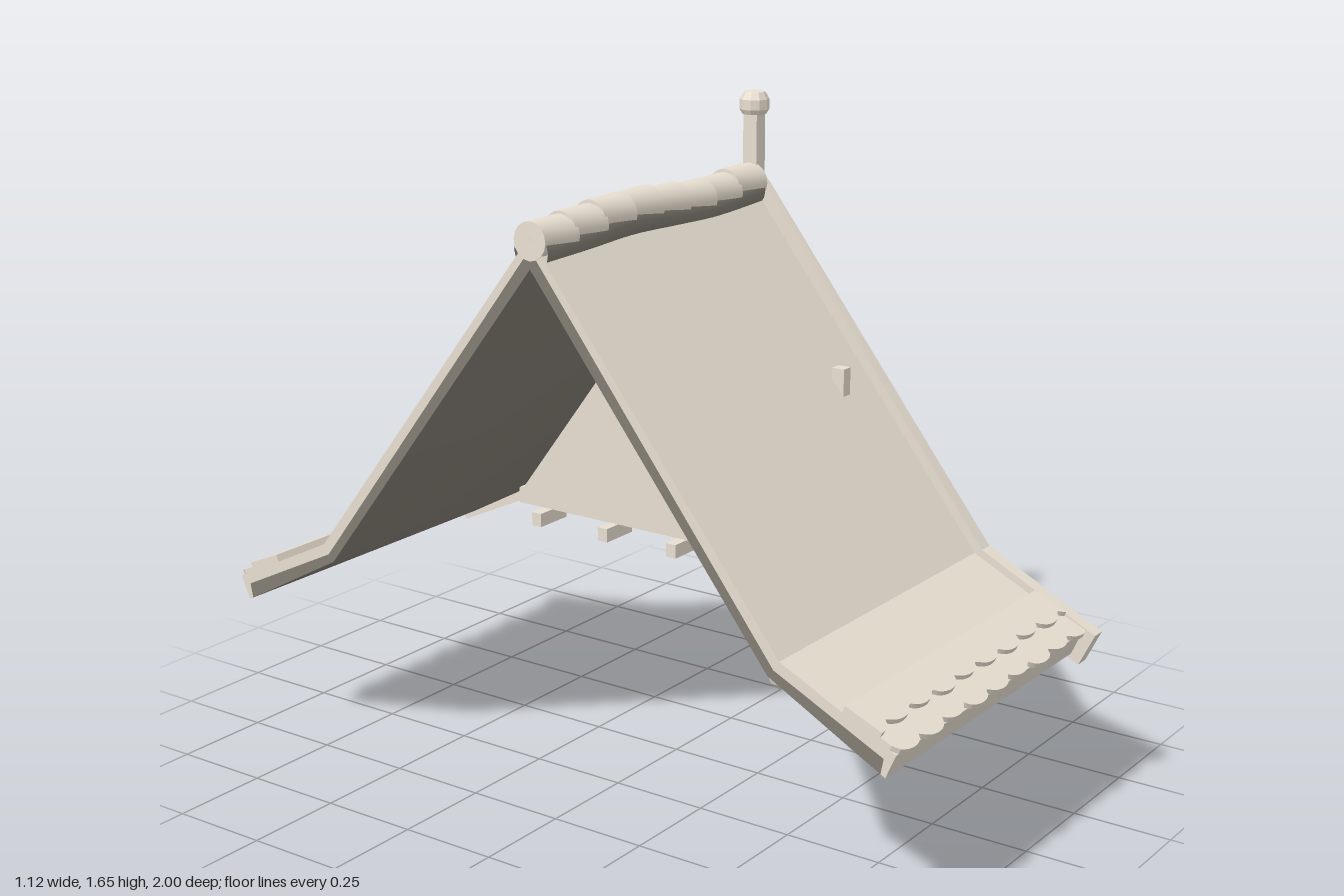
import * as THREE from 'three';
import { toCreasedNormals } from 'three/addons/utils/BufferGeometryUtils.js';

export function createModel() {
  const model = new THREE.Group();
  model.name = 'gableRoof';
  const clay = new THREE.MeshStandardMaterial({ color: 0xe8dfd1, side: THREE.DoubleSide });
  clay.name = 'paleClay';
  const dark = new THREE.MeshStandardMaterial({ color: 0x827c73, side: THREE.DoubleSide });
  dark.name = 'darkLining';

  const add = (name, geo, parent = model, material = clay) => {
    const m = new THREE.Mesh(toCreasedNormals(geo, 0.42), material);
    m.name = name;
    parent.add(m);
    return m;
  };
  // Box given by its limits on each axis
  const box = (name, x0, x1, y0, y1, z0, z1, parent) => {
    const m = add(name, new THREE.BoxGeometry(x1 - x0, y1 - y0, z1 - z0), parent);
    m.position.set((x0 + x1) / 2, (y0 + y1) / 2, (z0 + z1) / 2);
    return m;
  };
  // Outline of [z, y] points extruded along x
  const slab = (name, pts, x0, x1, material) => {
    const shape = new THREE.Shape(pts.map(([z, y]) => new THREE.Vector2(-z, y)));
    const geo = new THREE.ExtrudeGeometry(shape, { depth: x1 - x0, bevelEnabled: false });
    geo.rotateY(Math.PI / 2).translate(x0, 0, 0);
    return add(name, geo, model, material);
  };
  // Half outline (top edge outwards, then underside outwards) mirrored in z
  const symmetric = (outer, inner) => {
    const flip = (p) => p.filter(([z]) => z > 0).map(([z, y]) => [-z, y]).reverse();
    return [...flip(outer), ...outer, ...inner.slice().reverse(), ...flip(inner.slice().reverse())];
  };
  // Straight timber lying in the gable plane between two [z, y] points
  const timber = (name, [za, ya], [zb, yb], w, x0, x1) => {
    const m = add(name, new THREE.BoxGeometry(x1 - x0, Math.hypot(zb - za, yb - ya), w));
    m.position.set((x0 + x1) / 2, (ya + yb) / 2, (za + zb) / 2);
    m.rotation.x = Math.atan2(zb - za, yb - ya);
    return m;
  };
  // Rope or rod between points
  const tube = (name, pts, r, material) => add(name, new THREE.TubeGeometry(
    new THREE.CatmullRomCurve3(pts.map((p) => new THREE.Vector3(...p))), 24, r, 16), model, material);
  // Turned part from [radius, y] points
  const turned = (name, pts, sides) => add(name, new THREE.LatheGeometry(
    pts.map((p) => new THREE.Vector2(...p)), sides));

  // Roof covering, its dark lining and the wider bargeboard at the end
  slab('roofCovering', symmetric(
    [[0, 1.435], [0.67, 0.583], [0.965, 0.44]],
    [[0, 1.405], [0.655, 0.56], [0.935, 0.425], [0.928, 0.388], [0.94, 0.382]]), -0.56, 0.318);
  slab('roofLining', symmetric(
    [[0, 1.405], [0.655, 0.56], [0.935, 0.425]],
    [[0, 1.36], [0.64, 0.543], [0.928, 0.388]]), -0.56, 0.315, dark);
  slab('bargeboard', symmetric(
    [[0, 1.46], [0.035, 1.43], [0.69, 0.595], [1.0, 0.44]],
    [[0, 1.32], [0.62, 0.515], [0.96, 0.358]]), 0.315, 0.353);

  // Scalloped shingle courses along each eave, and a roof peg
  const slope = Math.atan2(0.143, 0.295);
  for (const side of [1, -1]) {
    const half = new THREE.Group();
    half.name = side > 0 ? 'frontEave' : 'backEave';
    half.scale.z = side;
    model.add(half);
    [[0.18, 0.31, -0.016, 0], [0.178, 0.245, -0.004, 0.05]].forEach(([v0, v1, lift, shift], row) => {
      const shape = new THREE.Shape();
      const x0 = -0.56, x1 = 0.313, w = 0.1;
      shape.moveTo(x1, -v0);
      shape.lineTo(x0, -v0);
      for (let i = 0; i <= 90; i++) {
        const x = x0 + (x1 - x0) * i / 90;
        const t = ((x - x0 + shift) / w) % 1;
        const wobble = 0.004 * Math.sin(Math.floor((x - x0 + shift) / w) * 2.3 + row);
        shape.lineTo(x, -(v1 + 0.03 * Math.sqrt(Math.max(0, 1 - (2 * t - 1) ** 2)) + wobble));
      }
      const m = add('shingleCourse', new THREE.ExtrudeGeometry(shape, { depth: 0.013, bevelEnabled: false }), half);
      m.position.set(0, 0.583 + lift * Math.cos(slope), 0.67 + lift * Math.sin(slope));
      m.rotation.x = slope - Math.PI / 2 - 0.05;
    });
    box('roofPeg', 0.175, 0.205, 0.955, 1.03, 0.338, 0.372, half);
  }

  // Overlapping ridge tiles on a dark bedding along a gently wavy line
  const wave = (x) => 0.009 * Math.cos((x + 0.22) * 10);
  const tiles = 8, step = 0.872 / tiles;
  for (let i = 0; i < tiles; i++) {
    const geo = new THREE.CylinderGeometry(0.045, 0.049, step + 0.01, 16);
    const m = add('ridgeTile', geo.rotateZ(Math.PI / 2));
    const x = -0.555 + step * (i + 0.5);
    m.position.set(x, 1.43 + wave(x), 0);
    m.rotation.z = -0.03;
  }
  const bedding = [-0.555, -0.4, -0.22, -0.06, 0.1, 0.22, 0.315].map((x) => [x, 1.408 + wave(x), 0]);
  tube('ridgeBedding', bedding, 0.048, dark);

  // Finial post with turned knob
  box('finialPost', 0.315, 0.353, 1.38, 1.61, -0.02, 0.02);
  turned('finialKnob', [[0, 1.595], [0.03, 1.598], [0.037, 1.61], [0.037, 1.635], [0.027, 1.653], [0, 1.657]], 10)
    .position.x = 0.334;

  // Recessed gable wall with timber framing
  slab('gableWall', [[0, 1.38], [-0.65, 0.515], [0.65, 0.515]], 0.16, 0.185);
  box('sillBeam', 0.16, 0.22, 0.51, 0.555, -0.635, 0.635);
  box('collarBeam', 0.18, 0.21, 1.0, 1.04, -0.23, 0.23);
  box('kingPost', 0.18, 0.21, 1.03, 1.31, -0.018, 0.018);
  for (const s of [1, -1]) {
    timber('rafter', [s * 0.615, 0.54], [0, 1.325], 0.085, 0.18, 0.21);
    timber('panelTrim', [s * 0.18, 1.04], [s * 0.02, 1.24], 0.02, 0.18, 0.2);
    box('stud', 0.18, 0.21, 0.55, 0.84, s * 0.355 - 0.015, s * 0.355 + 0.015);
  }
  for (let i = 0; i < 6; i++) {
    const z = -0.553 + i * 0.2212;
    box('joistEnd', 0.13, 0.24, 0.465, 0.502, z - 0.015, z + 0.015);
  }

  // Loading hatch: frame, door leaf and open shutters
  box('hatchPanel', 0.18, 0.192, 0.62, 0.97, -0.12, 0.12);
  box('hatchSill', 0.18, 0.23, 0.597, 0.62, -0.147, 0.147);
  box('hatchLintel', 0.18, 0.235, 0.962, 0.992, -0.152, 0.152);
  for (const s of [1, -1]) {
    box('hatchJamb', 0.18, 0.22, 0.61, 0.97, s * 0.135 - 0.012, s * 0.135 + 0.012);
    box('shutter', 0.215, 0.32, 0.628, 0.945, s * 0.123 - 0.007, s * 0.123 + 0.007);
    for (const y of [0.66, 0.91])
      box('shutterHinge', 0.21, 0.3, y - 0.01, y + 0.01, s * 0.112 - 0.006, s * 0.112 + 0.006);
  }

  // Hoist hood: small pitched roof with rails and a centre beam
  slab('hoodRoof', symmetric([[0, 1.152], [0.155, 1.017]], [[0, 1.13], [0.145, 1.003]]), 0.18, 0.488);
  for (const s of [1, -1])
    box('hoodRail', 0.18, 0.475, 1.0, 1.018, s * 0.125 - 0.01, s * 0.125 + 0.01);
  box('hoistBeam', 0.18, 0.485, 1.035, 1.07, -0.014, 0.014);
  box('beamCap', 0.485, 0.503, 1.03, 1.072, -0.018, 0.018);

  // Pulley wheel, ropes and hanging weight
  add('pulleyWheel', new THREE.TorusGeometry(0.026, 0.009, 16, 24)).position.set(0.472, 0.988, 0);
  const axle = add('pulleyAxle', new THREE.CylinderGeometry(0.012, 0.012, 0.036, 16).rotateX(Math.PI / 2));
  axle.position.set(0.472, 0.988, 0);
  for (const s of [1, -1])
    box('pulleyBracket', 0.462, 0.482, 0.975, 1.045, s * 0.016 - 0.003, s * 0.016 + 0.003);
  tube('hoistBrace', [[0.2, 0.775, 0], [0.45, 0.995, 0]], 0.006);
  tube('hoistRope', [[0.502, 0.99, 0], [0.502, 0.56, 0], [0.502, 0.13, 0]], 0.0045);
  const weight = turned('hangingWeight', [[0, 0.004], [0.02, 0.008], [0.042, 0.028], [0.055, 0.065],
    [0.054, 0.09], [0.043, 0.118], [0.026, 0.132], [0.021, 0.138], [0.026, 0.146], [0, 0.152]], 16);
  weight.position.x = 0.502;
  weight.scale.z = 0.78;

  return model;
}
